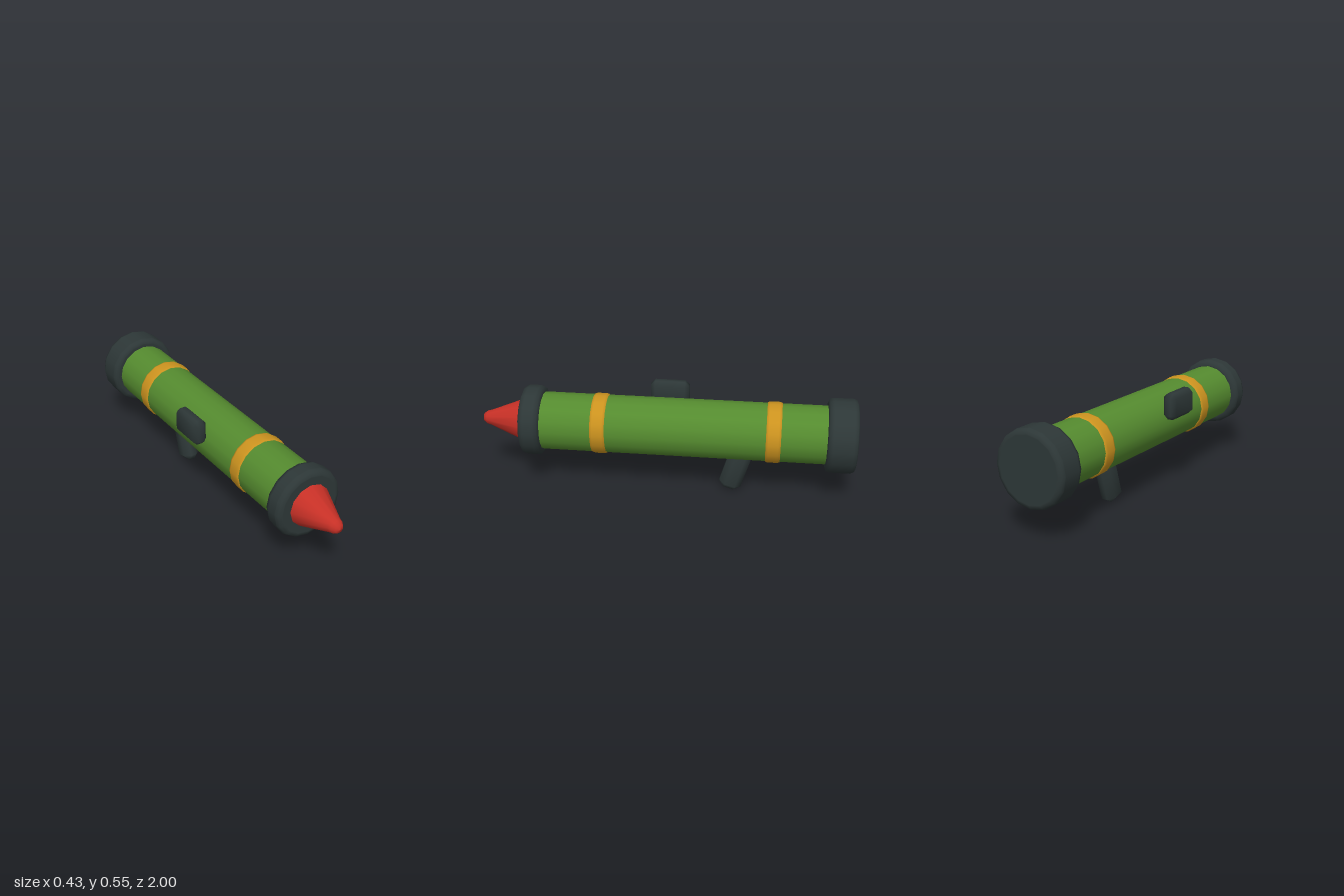
import * as THREE from 'three';
import { mergeVertices } from 'three/addons/utils/BufferGeometryUtils.js';
import { ConvexGeometry } from 'three/addons/geometries/ConvexGeometry.js';

const paint = (name, color) => {
  const m = new THREE.MeshStandardMaterial({ color });
  m.name = name;
  return m;
};

// Box with every edge cut by a single chamfer, softly shaded
function chamferBox(w, h, d, c) {
  const pts = [];
  const half = [w / 2, h / 2, d / 2];
  for (const sx of [-1, 1]) for (const sy of [-1, 1]) for (const sz of [-1, 1]) {
    for (let full = 0; full < 3; full++) {
      const p = half.map((v, i) => (i === full ? v : v - c));
      pts.push(new THREE.Vector3(p[0] * sx, p[1] * sy, p[2] * sz));
    }
  }
  let g = new ConvexGeometry(pts);
  g.deleteAttribute('normal');
  g = mergeVertices(g, 1e-4);
  g.computeVertexNormals();
  return g;
}

// Profile of a solid disc with rounded rims, from z0 to z1
function discProfile(r, z0, z1, b) {
  const k = b * 0.3;
  return [
    [0, z0], [r - b - 0.006, z0], [r - b, z0], [r - k, z0 + k], [r, z0 + b], [r, z0 + b + 0.006],
    [r, z1 - b - 0.006], [r, z1 - b], [r - k, z1 - k], [r - b, z1], [r - b - 0.006, z1], [0, z1],
  ];
}

export function createModel() {
  const green = paint('olive green', 0x558b2f);
  const dark = paint('dark slate', 0x2d3737);
  const gold = paint('gold', 0xcc931f);
  const red = paint('red', 0xc63026);

  const model = new THREE.Group();
  model.name = 'launcher';

  // Everything round shares one axis running along z
  const barrel = new THREE.Group();
  barrel.name = 'barrel';
  barrel.position.set(0.015, 0.355, 0);
  barrel.rotation.x = Math.PI / 2;
  model.add(barrel);

  const turned = (name, profile, sides, material) => {
    const pts = profile.map(([r, z]) => new THREE.Vector2(r, z));
    const mesh = new THREE.Mesh(new THREE.LatheGeometry(pts, sides), material);
    mesh.name = name;
    barrel.add(mesh);
  };

  // Main tube and its end collars
  turned('tube', [[0.155, -0.86], [0.155, 0.68]], 16, green);
  turned('rearCap', discProfile(0.197, -1, -0.845, 0.022), 16, dark);
  turned('frontCollar', discProfile(0.188, 0.66, 0.77, 0.025), 16, dark);

  // Bands around the tube
  for (const [name, z] of [['frontBand', 0.35], ['rearBand', -0.57]]) {
    turned(name, [[0.15, z - 0.04], [0.158, z - 0.038], [0.162, z - 0.026],
      [0.162, z + 0.026], [0.158, z + 0.038], [0.15, z + 0.04]], 16, gold);
  }

  // Pointed warhead with a blunt tip
  turned('warhead', [[0.117, 0.76], [0.115, 0.77], [0.041, 0.955], [0.036, 0.975],
    [0.023, 0.993], [0, 1]], 12, red);

  // Sight on the right side of the tube
  const sight = new THREE.Mesh(chamferBox(0.078, 0.14, 0.21, 0.024), dark);
  sight.name = 'sight';
  sight.position.set(-0.176, 0.467, 0);
  model.add(sight);

  // Slanted grip below the tube
  const grip = new THREE.Mesh(chamferBox(0.095, 0.235, 0.12, 0.032), dark);
  grip.name = 'grip';
  grip.position.set(0.015, 0.12, -0.374);
  grip.rotation.x = -0.29;
  model.add(grip);

  return model;
}
